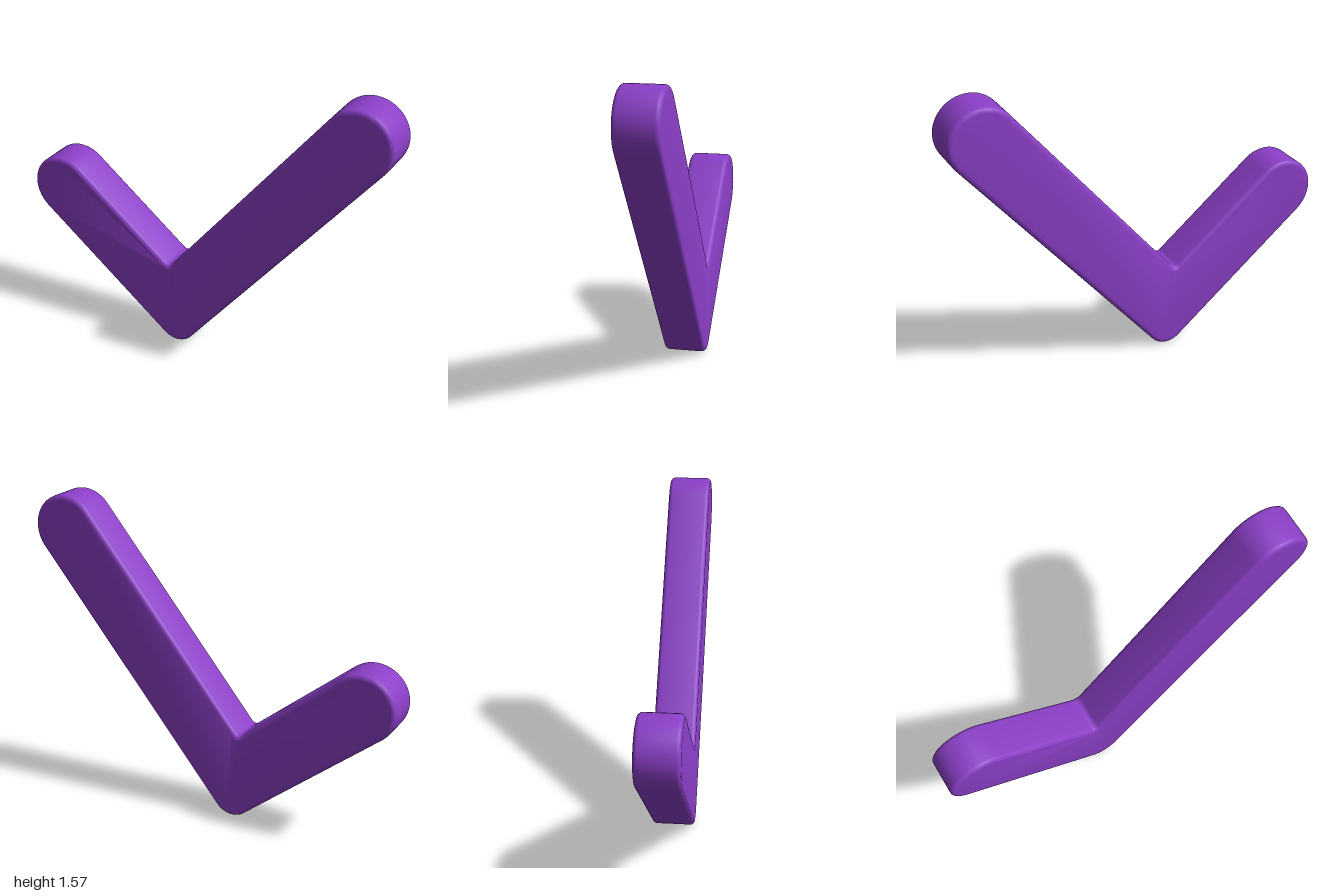
import * as THREE from 'three';
import { toCreasedNormals } from 'three/addons/utils/BufferGeometryUtils.js';

const HALF_WIDTH = 0.175, DEPTH = 0.214, BEVEL = 0.022;

// Point reached from p by going a distance at an angle
const polar = (p, angle, distance) =>
  new THREE.Vector2(p.x + Math.cos(angle) * distance, p.y + Math.sin(angle) * distance);

// Outline of two round-ended arms meeting at a softened corner
function checkShape() {
  const corner = new THREE.Vector2(-0.15, 0.2);
  const shortTip = new THREE.Vector2(-0.825, 0.735);
  const longTip = new THREE.Vector2(0.825, 1.395);
  const a = Math.atan2(shortTip.y - corner.y, shortTip.x - corner.x);
  const b = Math.atan2(longTip.y - corner.y, longTip.x - corner.x);
  const middle = (a + b) / 2, sinHalf = Math.sin((a - b) / 2), q = Math.PI / 2;

  const outerRadius = 0.11, innerCut = 0.03;
  const outer = polar(corner, middle, -(HALF_WIDTH - outerRadius) / sinHalf);
  const inner = polar(corner, middle, HALF_WIDTH / sinHalf);
  const innerLong = polar(inner, b, innerCut);
  const innerShort = polar(inner, a, innerCut);

  const shape = new THREE.Shape();
  shape.absarc(outer.x, outer.y, outerRadius, a + q, b + 3 * q, false);
  shape.absarc(longTip.x, longTip.y, HALF_WIDTH, b - q, b + q, false);
  shape.lineTo(innerLong.x, innerLong.y);
  shape.quadraticCurveTo(inner.x, inner.y, innerShort.x, innerShort.y);
  shape.absarc(shortTip.x, shortTip.y, HALF_WIDTH, a - q, a + q, false);
  shape.closePath();
  return shape;
}

export function createModel() {
  const group = new THREE.Group();
  group.name = 'checkMark';

  // Thick plate with rounded edges
  const geometry = new THREE.ExtrudeGeometry(checkShape(), {
    depth: DEPTH - 2 * BEVEL,
    bevelEnabled: true,
    bevelThickness: BEVEL,
    bevelSize: BEVEL,
    bevelOffset: -BEVEL,
    bevelSegments: 4,
    curveSegments: 12,
  });
  geometry.translate(0, 0, -DEPTH / 2 + BEVEL);

  const body = new THREE.Mesh(
    toCreasedNormals(geometry, 0.7),
    new THREE.MeshStandardMaterial({ color: 0x8b3fc7 })
  );
  body.name = 'tick';
  group.add(body);

  // Stand on the ground, centred
  const box = new THREE.Box3().setFromObject(body);
  body.position.set(-(box.min.x + box.max.x) / 2, -box.min.y, 0);
  return group;
}
